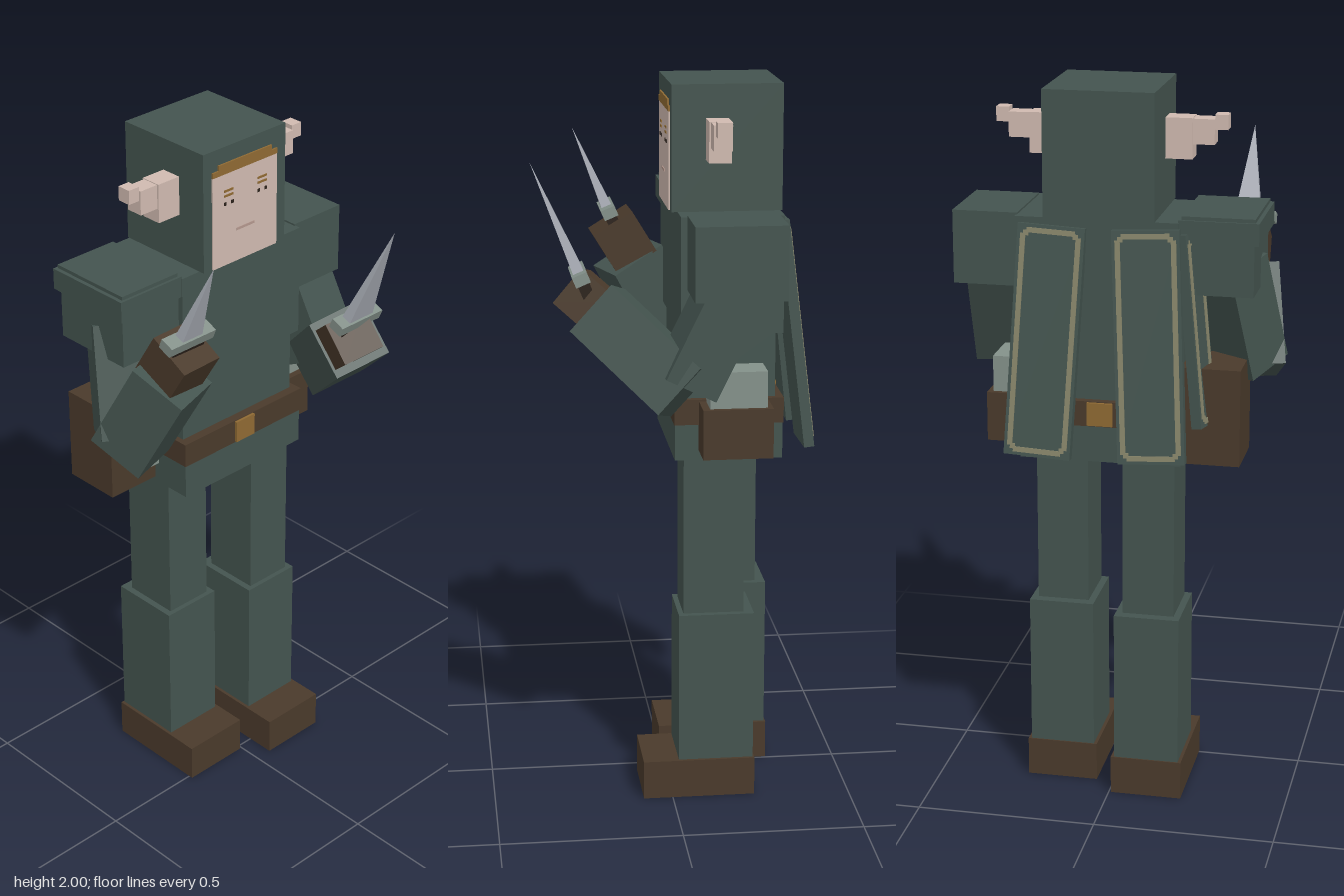
import * as THREE from 'three';

const mat = (name, color) => {
  const m = new THREE.MeshStandardMaterial({ color });
  m.name = name;
  return m;
};

export function createModel() {
  const green = mat('dark green cloth', 0x44544f);
  const brown = mat('brown leather', 0x4a3a2b);
  const skin = mat('skin', 0xd0bab0);
  const gold = mat('gold', 0x8f6a33);
  const sage = mat('sage grey', 0x84918a);
  const steel = mat('steel', 0xa9adb6);
  const tan = mat('tan trim', 0x87856a);
  const dark = mat('dark brown', 0x2c221b);
  const rose = mat('lip', 0xb4988e);

  const model = new THREE.Group();
  model.name = 'hoodedFigure';

  const addBox = (parent, name, m, w, h, d, x = 0, y = 0, z = 0) => {
    const mesh = new THREE.Mesh(new THREE.BoxGeometry(w, h, d), m);
    mesh.name = name;
    mesh.position.set(x, y, z);
    parent.add(mesh);
    return mesh;
  };
  // box given by its limits
  const span = (name, m, x0, x1, y0, y1, z0, z1) =>
    addBox(model, name, m, x1 - x0, y1 - y0, z1 - z0, (x0 + x1) / 2, (y0 + y1) / 2, (z0 + z1) / 2);
  // square bar running from a to b, rolled about its own axis
  const limb = (name, m, a, b, w, roll = 0) => {
    const from = new THREE.Vector3(...a), to = new THREE.Vector3(...b);
    const mesh = addBox(model, name, m, w, w, from.distanceTo(to));
    mesh.position.copy(from).lerp(to, 0.5);
    mesh.lookAt(to);
    mesh.rotateZ(roll);
    return mesh;
  };

  // hooded head and face
  span('hood', green, -0.127, 0.172, 1.66, 2, -0.303, -0.003);
  span('face', skin, -0.097, 0.138, 1.66, 1.925, -0.005, 0.001);
  span('hair', gold, -0.097, 0.138, 1.925, 1.94, -0.005, 0.002);
  span('hairTop', gold, -0.075, 0.118, 1.94, 1.955, -0.005, 0.002);
  for (const s of [-1, 1]) {
    const cx = 0.021 + s * 0.061;
    span('brow', gold, cx - 0.016, cx + 0.016, 1.873, 1.879, 0, 0.003);
    span('lowerBrow', gold, cx - 0.016, cx + 0.016, 1.859, 1.865, 0, 0.003);
    for (const o of [-0.013, 0.013])
      span('eye', dark, cx + o - 0.004, cx + o + 0.004, 1.835, 1.844, 0, 0.003);
  }
  span('mouth', rose, -0.012, 0.054, 1.75, 1.757, 0, 0.003);

  // stepped pointed ears
  const earSteps = [
    [0.145, 0.221, 1.8, 1.91, 0.03],
    [0.221, 0.279, 1.84, 1.908, 0.025],
    [0.279, 0.314, 1.88, 1.92, 0.02],
  ];
  for (const s of [-1, 1])
    for (const [i, o, y0, y1, r] of earSteps) {
      const a = 0.021 + s * i, b = 0.021 + s * o;
      span(s > 0 ? 'leftEar' : 'rightEar', skin, Math.min(a, b), Math.max(a, b), y0, y1, -0.125 - r, -0.125 + r);
    }

  // torso and belt
  span('chest', green, -0.19, 0.25, 1.34, 1.66, -0.298, -0.02);
  span('belly', green, -0.185, 0.228, 1.16, 1.34, -0.28, -0.03);
  span('hips', green, -0.2, 0.243, 0.99, 1.09, -0.3, -0.005);
  span('belt', brown, -0.202, 0.247, 1.09, 1.16, -0.302, -0.003);
  span('buckle', gold, -0.014, 0.056, 1.094, 1.158, -0.004, 0.005);
  span('backBuckle', gold, -0.014, 0.056, 1.094, 1.158, -0.31, -0.301);

  // legs and shoes, the left one half a step forward
  for (const [side, cx, z] of [['left', 0.15, 0], ['right', -0.106, -0.07]]) {
    span(side + 'Thigh', green, cx - 0.072, cx + 0.072, 0.54, 1, z - 0.2, z - 0.032);
    span(side + 'Shin', green, cx - 0.091, cx + 0.091, 0.11, 0.54, z - 0.228, z - 0.018);
    span(side + 'Shoe', brown, cx - 0.1, cx + 0.1, 0, 0.11, z - 0.232, z + 0.082);
  }

  // shoulders
  span('leftShoulder', green, 0.247, 0.424, 1.465, 1.665, -0.282, -0.037);
  span('rightShoulder', green, -0.388, -0.188, 1.465, 1.61, -0.28, -0.035);
  span('rightShoulderPad', green, -0.402, -0.188, 1.607, 1.667, -0.292, -0.022);
  span('rightShoulderCap', green, -0.391, -0.196, 1.667, 1.677, -0.286, -0.03);

  // bent arms with fists
  limb('leftUpperArm', green, [0.335, 1.51, -0.16], [0.35, 1.23, -0.02], 0.15);
  limb('leftForearm', green, [0.36, 1.21, -0.02], [0.225, 1.41, 0.2], 0.165, 0.35);
  limb('leftHand', brown, [0.225, 1.385, 0.17], [0.175, 1.465, 0.265], 0.12, 0.3);
  limb('rightUpperArm', green, [-0.3, 1.53, -0.16], [-0.35, 1.23, -0.08], 0.15);
  limb('rightForearm', green, [-0.352, 1.2, -0.06], [-0.31, 1.45, 0.07], 0.165);
  limb('rightHand', brown, [-0.308, 1.44, 0.05], [-0.305, 1.555, 0.12], 0.13);

  // daggers: tapering blade, guard and grip
  const bladeGeo = new THREE.ConeGeometry(Math.SQRT1_2, 1, 4, 1, false, Math.PI / 4).toNonIndexed();
  bladeGeo.computeVertexNormals();
  const dagger = (name, x, y, z, w, h, tilt) => {
    const g = new THREE.Group();
    g.name = name;
    g.position.set(x, y, z);
    g.rotation.x = tilt;
    const blade = new THREE.Mesh(bladeGeo, steel);
    blade.name = 'blade';
    blade.scale.set(w, h, 0.03);
    blade.position.y = h / 2 + 0.012;
    g.add(blade);
    addBox(g, 'guard', sage, 0.155, 0.03, 0.042);
    addBox(g, 'grip', dark, 0.11, 0.05, 0.032, 0, -0.04, 0);
    model.add(g);
  };
  dagger('leftDagger', 0.198, 1.502, 0.247, 0.09, 0.315, 0.4);
  dagger('rightDagger', -0.308, 1.587, 0.127, 0.07, 0.245, 0.4);

  // hip bags and flasks
  span('rightBag', brown, -0.36, -0.2, 1.002, 1.27, -0.302, -0.13);
  span('rightFlask', sage, -0.31, -0.24, 1.09, 1.25, -0.13, -0.07);
  span('leftPouch', brown, 0.235, 0.345, 1.018, 1.155, -0.26, -0.07);
  span('leftFlask', sage, 0.235, 0.33, 1.155, 1.255, -0.245, -0.09);

  // cloak panels with a trim frame on the outer face
  const panel = (name, w, h, x, y, z, yaw, roll) => {
    const g = new THREE.Group();
    g.name = name;
    g.position.set(x, y, z);
    g.rotation.set(0.115, yaw, roll, 'YXZ');
    addBox(g, 'cloth', green, w, h, 0.028);
    const e = 0.016, t = 0.014;
    for (const s of [-1, 1]) {
      addBox(g, 'sideTrim', tan, t, h - 2 * e - 0.02, 0.006, s * (w / 2 - e), 0, -0.014);
      addBox(g, 'endTrim', tan, w - 2 * e - 0.02, t, 0.006, 0, s * (h / 2 - e), -0.014);
      for (const v of [-1, 1])
        addBox(g, 'cornerTrim', tan, t, t, 0.006, s * (w / 2 - e - 0.008), v * (h / 2 - e - 0.008), -0.014);
    }
    model.add(g);
  };
  panel('leftCloakPanel', 0.182, 0.625, 0.162, 1.33, -0.335, 0, 0.05);
  panel('rightCloakPanel', 0.182, 0.625, -0.12, 1.33, -0.335, 0, -0.05);
  panel('sideCloakPanel', 0.11, 0.52, -0.235, 1.37, -0.272, Math.PI / 2 - 0.2, 0.05);

  return model;
}
